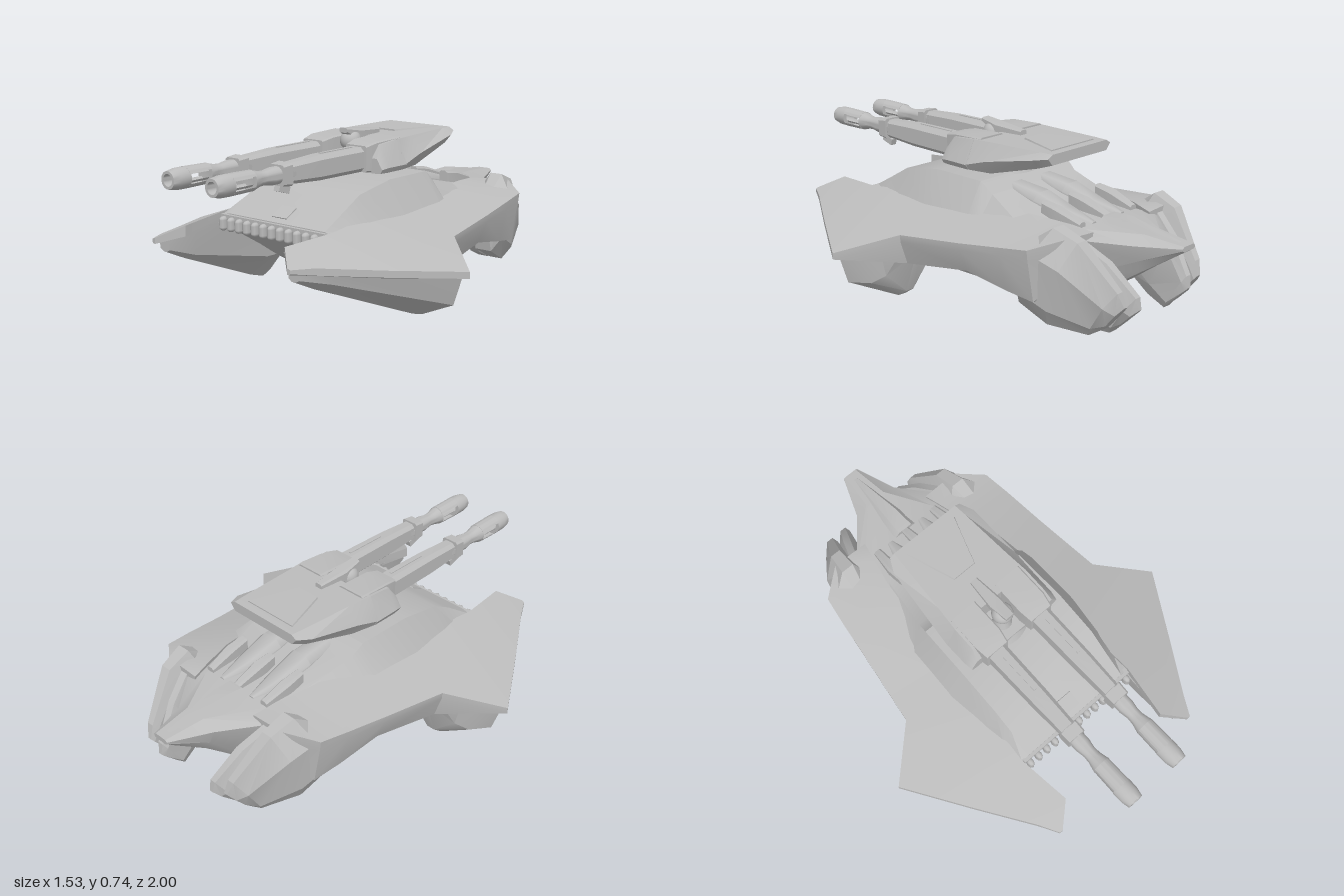
import * as THREE from 'three';
import { toCreasedNormals } from 'three/addons/utils/BufferGeometryUtils.js';

const grey = new THREE.MeshStandardMaterial({ color: 0xbcbcbc, side: THREE.DoubleSide });
grey.name = 'hull grey';

// Skin between rings of [x, y, z] points, with capped ends
function loft(rings, crease = 0.5) {
  const n = rings[0].length, pos = [];
  const tri = (a, b, c) => pos.push(...a, ...b, ...c);
  for (let i = 0; i < rings.length - 1; i++) {
    for (let j = 0; j < n; j++) {
      const k = (j + 1) % n, a = rings[i], b = rings[i + 1];
      tri(a[j], b[j], b[k]);
      tri(a[j], b[k], a[k]);
    }
  }
  const cap = (ring, flip) => {
    const c = [0, 1, 2].map(d => ring.reduce((t, p) => t + p[d], 0) / n);
    ring.forEach((p, j) => {
      const q = ring[(j + 1) % n];
      flip ? tri(c, q, p) : tri(c, p, q);
    });
  };
  cap(rings[0], false);
  cap(rings[rings.length - 1], true);
  // Turn the skin outward when its signed volume is negative
  let volume = 0;
  const v = i => new THREE.Vector3(pos[i], pos[i + 1], pos[i + 2]);
  for (let i = 0; i < pos.length; i += 9) volume += v(i).dot(v(i + 3).cross(v(i + 6)));
  if (volume < 0) {
    for (let i = 0; i < pos.length; i += 9) {
      for (let d = 0; d < 3; d++) [pos[i + 3 + d], pos[i + 6 + d]] = [pos[i + 6 + d], pos[i + 3 + d]];
    }
  }
  const g = new THREE.BufferGeometry();
  g.setAttribute('position', new THREE.Float32BufferAttribute(pos, 3));
  return toCreasedNormals(g, crease);
}

// Station [z, [x, y], ...] to a ring; s mirrors it
const side = (s, stations) => stations.map(([z, ...p]) => p.map(([x, y]) => [s * x, y, z]));
// Half section from top to bottom, completed by its mirror image
const full = stations => stations.map(([z, ...p]) => [
  ...p.map(([x, y]) => [x, y, z]), ...p.slice().reverse().map(([x, y]) => [-x, y, z])]);
// Chamfered box section
const chamfer = (z, x, y, w, h, c) => [z,
  [x - w + c, y + h], [x + w - c, y + h], [x + w, y + h - c], [x + w, y - h + c],
  [x + w - c, y - h], [x - w + c, y - h], [x - w, y - h + c], [x - w, y + h - c]];

export function createModel() {
  const model = new THREE.Group();
  model.name = 'hoverTank';
  const add = (name, geo, x = 0, y = 0, z = 0, parent = model) => {
    const m = new THREE.Mesh(geo, grey);
    m.name = name;
    m.position.set(x, y, z);
    parent.add(m);
    return m;
  };

  // Central hull with sloped bow and pointed tail
  add('hull', loft(full([
    [0.54, [0.27, 0.397], [0.31, 0.388], [0.31, 0.345], [0.26, 0.335]],
    [0.43, [0.272, 0.458], [0.318, 0.39], [0.31, 0.32], [0.2, 0.255]],
    [0.33, [0.275, 0.515], [0.335, 0.39], [0.31, 0.28], [0.2, 0.19]],
    [0.13, [0.275, 0.55], [0.36, 0.39], [0.32, 0.25], [0.19, 0.07]],
    [-0.13, [0.27, 0.548], [0.36, 0.39], [0.34, 0.25], [0.2, 0.08]],
    [-0.19, [0.26, 0.5], [0.35, 0.39], [0.34, 0.25], [0.18, 0.1]],
    [-0.45, [0.22, 0.44], [0.32, 0.4], [0.3, 0.22], [0.17, 0.09]],
    [-0.62, [0.17, 0.428], [0.27, 0.41], [0.22, 0.24], [0.14, 0.13]],
    [-0.82, [0.05, 0.425], [0.11, 0.39], [0.08, 0.32], [0.05, 0.27]],
    [-1.0, [0.03, 0.412], [0.04, 0.404], [0.04, 0.396], [0.03, 0.39]],
  ])));
  add('tailSpine', loft(full([
    [-0.6, [0.035, 0.45], [0.065, 0.42]],
    [-0.7, [0.03, 0.455], [0.06, 0.41]],
    [-0.96, [0.008, 0.415], [0.02, 0.4]],
  ])));

  // Row of bow teeth and the driver hatch
  for (let i = 0; i < 13; i++) {
    add('bowTooth', new THREE.CapsuleGeometry(0.015, 0.032, 4, 8), (i - 6) * 0.047, 0.356, 0.562).scale.z = 1.5;
  }
  add('bowLip', new THREE.BoxGeometry(0.61, 0.014, 0.03), 0, 0.386, 0.54);
  add('bowHatch', new THREE.BoxGeometry(0.08, 0.008, 0.07), 0, 0.428, 0.485).rotation.x = 0.52;

  // Broad rear deck fairings with slim rails between them
  for (const x of [-0.17, 0, 0.17]) {
    add('deckRail', loft(side(1, [
      chamfer(-0.4, x, 0.46, 0.02, 0.04, 0.008),
      chamfer(-0.48, x, 0.45, 0.026, 0.04, 0.01),
      chamfer(-0.6, x * 0.96, 0.425, 0.018, 0.025, 0.008),
    ])));
  }
  for (const x of [-0.09, 0.09]) {
    add('deckFairing', loft(side(1, [
      chamfer(-0.16, x, 0.49, 0.05, 0.03, 0.02),
      chamfer(-0.32, x, 0.465, 0.062, 0.04, 0.028),
      chamfer(-0.46, x, 0.435, 0.05, 0.03, 0.022),
      chamfer(-0.6, x, 0.415, 0.02, 0.02, 0.012),
    ]), 0.8));
  }

  for (const s of [1, -1]) {
    const tag = s > 0 ? 'left' : 'right';
    // Fender plate with a side skirt, sweeping into the forward wing
    add(tag + 'Wing', loft(side(s, [
      [0.865, [0.37, 0.335], [0.385, 0.33], [0.385, 0.315], [0.38, 0.31], [0.37, 0.31]],
      [0.78, [0.278, 0.385], [0.432, 0.328], [0.432, 0.3], [0.425, 0.298], [0.278, 0.34]],
      [0.54, [0.31, 0.4], [0.585, 0.295], [0.585, 0.267], [0.575, 0.263], [0.31, 0.35]],
      [0.25, [0.29, 0.425], [0.765, 0.26], [0.765, 0.232], [0.75, 0.23], [0.31, 0.34]],
      [0.06, [0.27, 0.44], [0.557, 0.335], [0.555, 0.305], [0.52, 0.2], [0.31, 0.22]],
      [-0.25, [0.25, 0.455], [0.515, 0.365], [0.513, 0.335], [0.47, 0.235], [0.3, 0.22]],
      [-0.45, [0.23, 0.455], [0.49, 0.39], [0.487, 0.355], [0.45, 0.2], [0.28, 0.18]],
      [-0.58, [0.2, 0.445], [0.47, 0.405], [0.465, 0.365], [0.43, 0.18], [0.24, 0.18]],
      [-0.67, [0.18, 0.43], [0.35, 0.44], [0.345, 0.4], [0.31, 0.3], [0.2, 0.3]],
    ]), 0.6));
    // Deep float under the wing
    add(tag + 'WingFloat', loft(side(s, [
      [0.82, [0.33, 0.34], [0.395, 0.32], [0.39, 0.28], [0.37, 0.27], [0.35, 0.27], [0.335, 0.28]],
      [0.7, [0.295, 0.36], [0.47, 0.3], [0.45, 0.25], [0.38, 0.215], [0.355, 0.215], [0.315, 0.24]],
      [0.25, [0.31, 0.36], [0.735, 0.245], [0.69, 0.11], [0.49, 0.035], [0.44, 0.035], [0.33, 0.14]],
      [0.17, [0.31, 0.36], [0.66, 0.25], [0.63, 0.11], [0.48, 0.012], [0.44, 0.012], [0.33, 0.14]],
      [0.13, [0.31, 0.36], [0.61, 0.27], [0.58, 0.14], [0.47, 0.04], [0.43, 0.04], [0.33, 0.16]],
      [0.07, [0.31, 0.36], [0.55, 0.31], [0.52, 0.28], [0.46, 0.23], [0.43, 0.23], [0.33, 0.26]],
    ]), 0.35));
    // Pairs of slanted thruster blades: [x, half width, top z, top y, bottom z, bottom y]
    const blade = secs => loft(secs.map(([x, w, zt, yt, zb, yb]) => {
      const at = (dx, t) => [s * (x + dx * w), yt + (yb - yt) * t, zt + (zb - zt) * t];
      return [at(-0.7, 0), at(0, 0), at(1, 0.3), at(1, 0.8), at(0.5, 1), at(-0.5, 1), at(-1, 0.8), at(-1, 0.15)];
    }), 0.35);
    add(tag + 'OuterThruster', blade([
      [0.36, 0.06, -0.5, 0.4, -0.46, 0.2],
      [0.352, 0.085, -0.61, 0.475, -0.47, 0.14],
      [0.335, 0.07, -0.72, 0.435, -0.6, 0.075],
      [0.27, 0.045, -0.87, 0.25, -0.75, 0.05],
      [0.25, 0.025, -0.89, 0.19, -0.8, 0.08],
    ]));
    add(tag + 'InnerThruster', blade([
      [0.29, 0.045, -0.54, 0.42, -0.44, 0.2],
      [0.275, 0.05, -0.66, 0.42, -0.52, 0.11],
      [0.23, 0.05, -0.78, 0.34, -0.66, 0.055],
      [0.18, 0.04, -0.89, 0.21, -0.78, 0.04],
      [0.17, 0.022, -0.9, 0.16, -0.81, 0.07],
    ]));
    // Keel skid and faceted chin intake
    add(tag + 'KeelSkid', loft(side(s, [
      [-0.15, [0.03, 0.16], [0.2, 0.16], [0.18, 0.1], [0.03, 0.09]],
      [-0.24, [0.02, 0.18], [0.2, 0.18], [0.18, 0.06], [0.02, 0.06]],
      [-0.32, [0.02, 0.2], [0.19, 0.2], [0.15, 0.004], [0.03, 0]],
      [-0.36, [0.02, 0.2], [0.19, 0.2], [0.15, 0.012], [0.03, 0.01]],
      [-0.58, [0.03, 0.2], [0.18, 0.2], [0.14, 0.08], [0.03, 0.08]],
    ]), 0.35));
    add(tag + 'ChinIntake', loft(side(s, [
      [0.38, [0.07, 0.245], [0.12, 0.24], [0.1, 0.21], [0.08, 0.21]],
      [0.28, [0.04, 0.25], [0.14, 0.22], [0.1, 0.13], [0.02, 0.14]],
      [0.12, [0.01, 0.2], [0.16, 0.18], [0.07, 0.06], [0.005, 0.05]],
      [-0.1, [0.01, 0.2], [0.19, 0.2], [0.14, 0.075], [0.005, 0.07]],
    ]), 0.2));
  }

  // Turret
  const turret = new THREE.Group();
  turret.name = 'turret';
  model.add(turret);
  add('turretRing', new THREE.CylinderGeometry(0.14, 0.16, 0.04, 32), 0, 0.56, 0, turret);
  add('turretBody', loft(full([
    [-0.44, [0.17, 0.7], [0.195, 0.685], [0.17, 0.655]],
    [-0.38, [0.175, 0.7], [0.225, 0.675], [0.19, 0.635]],
    [-0.13, [0.19, 0.697], [0.242, 0.625], [0.21, 0.568]],
    [-0.01, [0.2, 0.695], [0.248, 0.59], [0.235, 0.568]],
  ]), 0.35), 0, 0, 0, turret);
  add('turretFloor', new THREE.BoxGeometry(0.44, 0.02, 0.16), 0, 0.576, 0.06, turret);
  // Tapered roof panel
  add('roofPanel', loft(full([
    [-0.4, [0.13, 0.705], [0.14, 0.69]],
    [-0.18, [0.055, 0.705], [0.06, 0.69]],
  ])), 0, 0, 0, turret);
  // Sight pod above the turret
  add('sightBall', new THREE.SphereGeometry(0.047, 24, 16), 0, 0.68, 0.06, turret);
  add('sightPost', new THREE.CylinderGeometry(0.025, 0.045, 0.07, 16), 0, 0.615, 0.06, turret);
  add('sightHood', loft(side(1, [
    chamfer(0.11, 0, 0.729, 0.022, 0.011, 0.005),
    chamfer(0.02, 0, 0.7, 0.03, 0.03, 0.01),
    chamfer(-0.12, 0, 0.695, 0.018, 0.022, 0.006),
  ])), 0, 0, 0, turret);

  // Guns with slotted muzzles
  const turned = (pts, start = 0, len = Math.PI * 2) => toCreasedNormals(new THREE.LatheGeometry(
    pts.map(([r, z]) => new THREE.Vector2(r, z)), 24, start, len).rotateX(Math.PI / 2).toNonIndexed(), 0.6);
  for (const s of [1, -1]) {
    const gun = new THREE.Group();
    gun.name = s > 0 ? 'leftGun' : 'rightGun';
    gun.position.set(s * 0.122, 0.625, 0);
    turret.add(gun);
    const part = (name, geo, x, y, z) => add(name, geo, x, y, z, gun);
    part('mantlet', loft(side(1, [
      chamfer(-0.05, 0, 0.01, 0.066, 0.068, 0.006),
      chamfer(0.11, 0, 0.008, 0.066, 0.064, 0.006),
      chamfer(0.17, 0, 0.003, 0.056, 0.056, 0.006)])));
    part('barrelSleeve', loft(side(1, [
      chamfer(0.14, 0, 0, 0.045, 0.053, 0.018),
      chamfer(0.43, 0, 0, 0.04, 0.052, 0.018),
      chamfer(0.6, 0, 0, 0.034, 0.042, 0.015)])));
    part('sleeveRib', new THREE.BoxGeometry(0.012, 0.008, 0.2), 0, 0.052, 0.3);
    part('collar', loft(side(1, [
      chamfer(0.605, 0, 0, 0.042, 0.047, 0.008), chamfer(0.655, 0, 0, 0.04, 0.042, 0.008)])));
    part('collarHook', new THREE.BoxGeometry(0.03, 0.03, 0.06), 0, -0.058, 0.625).rotation.x = -0.3;
    part('barrelNeck', turned([[0, 0.58], [0.036, 0.58], [0.036, 0.69], [0.029, 0.73], [0.031, 0.76],
      [0.042, 0.805], [0.025, 0.805], [0, 0.8]]));
    for (const mid of [0, Math.PI]) {
      part('muzzleBridge', turned([[0.025, 0.8], [0.042, 0.8], [0.044, 0.92], [0.026, 0.92], [0.025, 0.8]],
        mid - Math.PI / 3, Math.PI * 2 / 3));
    }
    part('muzzleRing', turned([[0.026, 0.915], [0.044, 0.915], [0.043, 0.965], [0.036, 1], [0.025, 1], [0.026, 0.915]]));
    // Armoured cheek beside the gun
    add('turretCheek', loft(side(s, [
      [-0.02, [0.185, 0.695], [0.2, 0.695], [0.248, 0.59], [0.235, 0.568], [0.185, 0.568]],
      [0.1, [0.185, 0.685], [0.2, 0.685], [0.246, 0.59], [0.235, 0.568], [0.185, 0.568]],
      [0.14, [0.185, 0.63], [0.21, 0.63], [0.24, 0.585], [0.23, 0.568], [0.185, 0.568]],
    ])), 0, 0, 0, turret);
  }
  return model;
}
